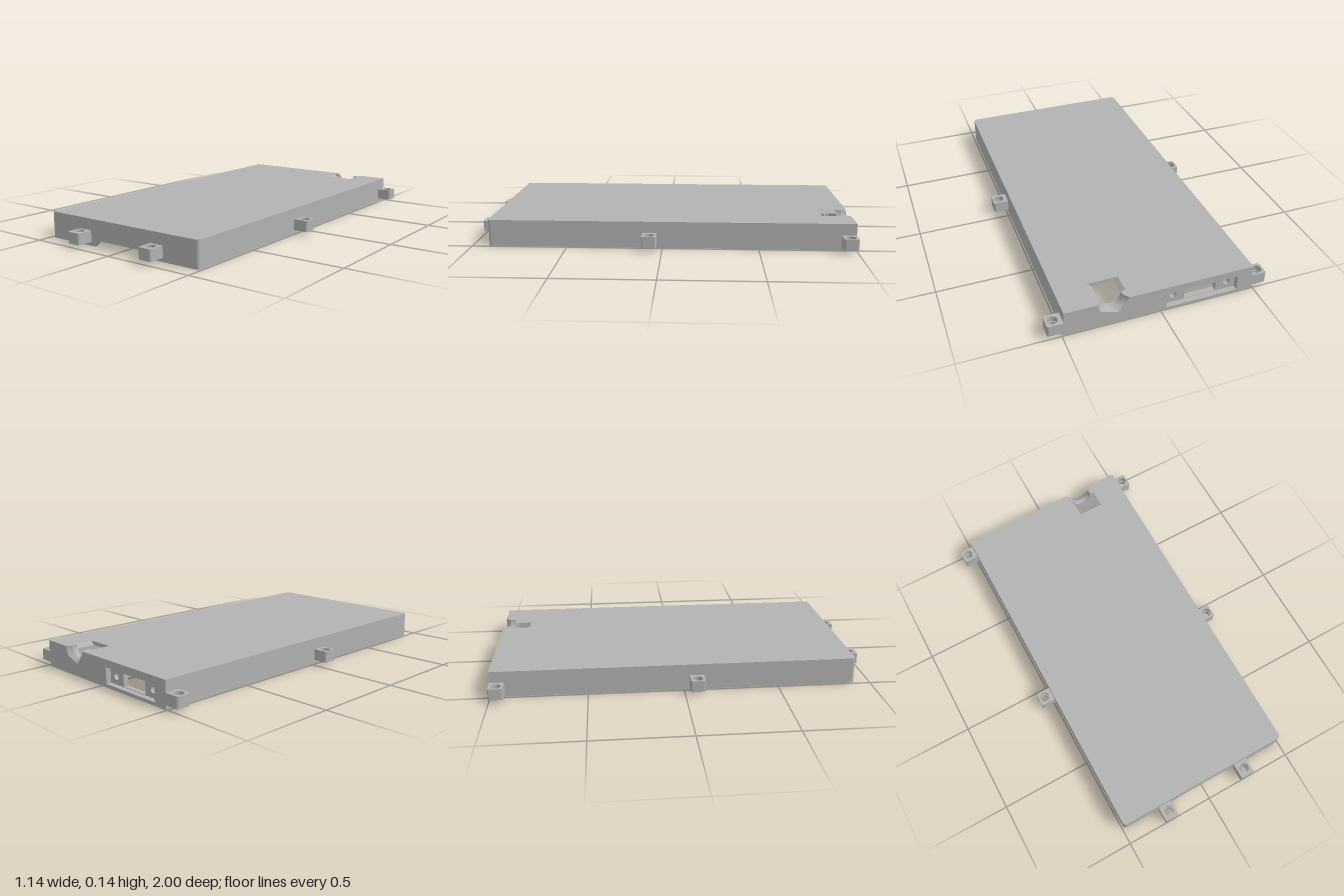
import * as THREE from 'three';

const grey = new THREE.MeshStandardMaterial({ color: 0xb2b2b2, side: THREE.DoubleSide });
const W = 0.49, BACK = -1, FRONT = 0.915, TOP = 0.14, CEIL = 0.12, T = 0.02;
const INNER = -0.945, RECESS = -0.972, PORT_X = 0.245;

const poly = (pts) => new THREE.Shape(pts.map(([x, y]) => new THREE.Vector2(x, y)));
const circle = (x, y, r) => new THREE.Path().absarc(x, y, r, 0, Math.PI * 2, true);
const hole = (x0, y0, x1, y1) =>
  new THREE.Path([[x0, y0], [x0, y1], [x1, y1], [x1, y0]].map(([x, y]) => new THREE.Vector2(x, y)));

export function createModel() {
  const group = new THREE.Group();
  const add = (name, geo) => {
    const mesh = new THREE.Mesh(geo, grey);
    mesh.name = name;
    group.add(mesh);
    return mesh;
  };
  const extrude = (shape, depth) =>
    new THREE.ExtrudeGeometry(shape, { depth, bevelEnabled: false, curveSegments: 20 });
  // Plan shape (x, -z) raised from y0 to y1
  const slab = (name, shape, y0, y1) =>
    add(name, extrude(shape, y1 - y0).rotateX(-Math.PI / 2).translate(0, y0, 0));
  // Upright shape (x, y) spanning z0 to z1
  const panel = (name, shape, z0, z1) => add(name, extrude(shape, z1 - z0).translate(0, 0, z0));

  // Top plate with rounded front corners and a notch behind the back wall
  const r = 0.02;
  const plate = new THREE.Shape();
  plate.moveTo(-W, -INNER);
  plate.lineTo(-W, -FRONT + r);
  plate.quadraticCurveTo(-W, -FRONT, -W + r, -FRONT);
  plate.lineTo(W - r, -FRONT);
  plate.quadraticCurveTo(W, -FRONT, W, -FRONT + r);
  plate.lineTo(W, -INNER);
  plate.lineTo(PORT_X + 0.08, -INNER);
  plate.lineTo(PORT_X + 0.08, 0.845);
  plate.lineTo(PORT_X - 0.08, 0.845);
  plate.lineTo(PORT_X - 0.08, -INNER);
  slab('topPlate', plate, CEIL, TOP);

  // Sloping cheeks of the port notch
  for (const s of [-1, 1]) {
    const x = PORT_X + s * 0.08;
    panel('portCheek', poly([[x, TOP], [x, CEIL], [x - s * 0.023, CEIL]]), INNER, -0.845);
  }

  // Side walls, each turning the front corner
  for (const s of [-1, 1]) {
    const wall = new THREE.Shape();
    wall.moveTo(s * W, -INNER);
    wall.lineTo(s * W, -FRONT + r);
    wall.quadraticCurveTo(s * W, -FRONT, s * (W - r), -FRONT);
    wall.lineTo(s * 0.2, -FRONT);
    wall.lineTo(s * 0.2, -FRONT + T);
    wall.lineTo(s * (W - T), -FRONT + T);
    wall.lineTo(s * (W - T), -INNER);
    slab(s > 0 ? 'leftWall' : 'rightWall', wall, 0, CEIL);
  }

  // Middle of the front wall with its trapezoid cutout
  panel('frontWall', poly([[-0.2, 0], [-0.18, 0], [-0.147, 0.033], [0.147, 0.033], [0.18, 0],
    [0.2, 0], [0.2, CEIL], [-0.2, CEIL]]), FRONT - T, FRONT);

  // Back wall in two layers: recessed connector seat and round cable groove
  const backShape = (radius) => {
    const s = new THREE.Shape();
    s.moveTo(-W, 0);
    s.lineTo(W, 0);
    s.lineTo(W, TOP);
    s.lineTo(PORT_X + radius, TOP);
    s.absarc(PORT_X, TOP, radius, 0, Math.PI, true);
    s.lineTo(-W, TOP);
    return s;
  };
  const outer = backShape(0.08);
  outer.holes.push(hole(-0.41, 0.015, -0.03, 0.1));
  panel('backWallOuter', outer, BACK, RECESS);
  const inner = backShape(0.057);
  inner.holes.push(hole(-0.305, 0.018, -0.135, 0.095));
  for (const x of [-0.365, -0.075]) inner.holes.push(circle(x, 0.057, 0.018));
  panel('backWallInner', inner, RECESS, INNER);

  // Flared mouth of the cable groove: half ring tapering to nothing at the back
  const ring = new THREE.Shape();
  ring.absarc(0, 0, 0.08, Math.PI, Math.PI * 2, false);
  ring.absarc(0, 0, 0.057, Math.PI * 2, Math.PI, true);
  const flare = extrude(ring, RECESS - BACK);
  const p = flare.attributes.position;
  for (let i = 0; i < p.count; i++) {
    const len = Math.hypot(p.getX(i), p.getY(i));
    if (p.getZ(i) < 0.001 && len < 0.07) {
      p.setXY(i, p.getX(i) * 0.0799 / len, p.getY(i) * 0.0799 / len);
    }
  }
  flare.computeVertexNormals();
  add('grooveFlare', flare.translate(PORT_X, TOP, BACK));

  // Screw tabs with stepped holes
  const tab = (x0, x1, z0, z1, hx, hz) => {
    const c = 0.006;
    for (const [y0, y1, rad] of [[0.02, 0.05, 0.021], [0.05, 0.08, 0.026]]) {
      const s = poly([[x0 + c, -z1], [x1 - c, -z1], [x1, -z1 + c], [x1, -z0 - c],
        [x1 - c, -z0], [x0 + c, -z0], [x0, -z0 - c], [x0, -z1 + c]]);
      s.holes.push(circle(hx, -hz, rad));
      slab('screwTab', s, y0, y1);
    }
  };
  for (const z of [-0.962, 0.067]) {
    tab(W - 0.007, 0.57, z - 0.038, z + 0.038, 0.535, z);
    tab(-0.57, -W + 0.007, z - 0.038, z + 0.038, -0.535, z);
  }
  for (const x of [-0.24, 0.238]) tab(x - 0.039, x + 0.039, FRONT - 0.007, 1, x, 0.957);

  return group;
}
